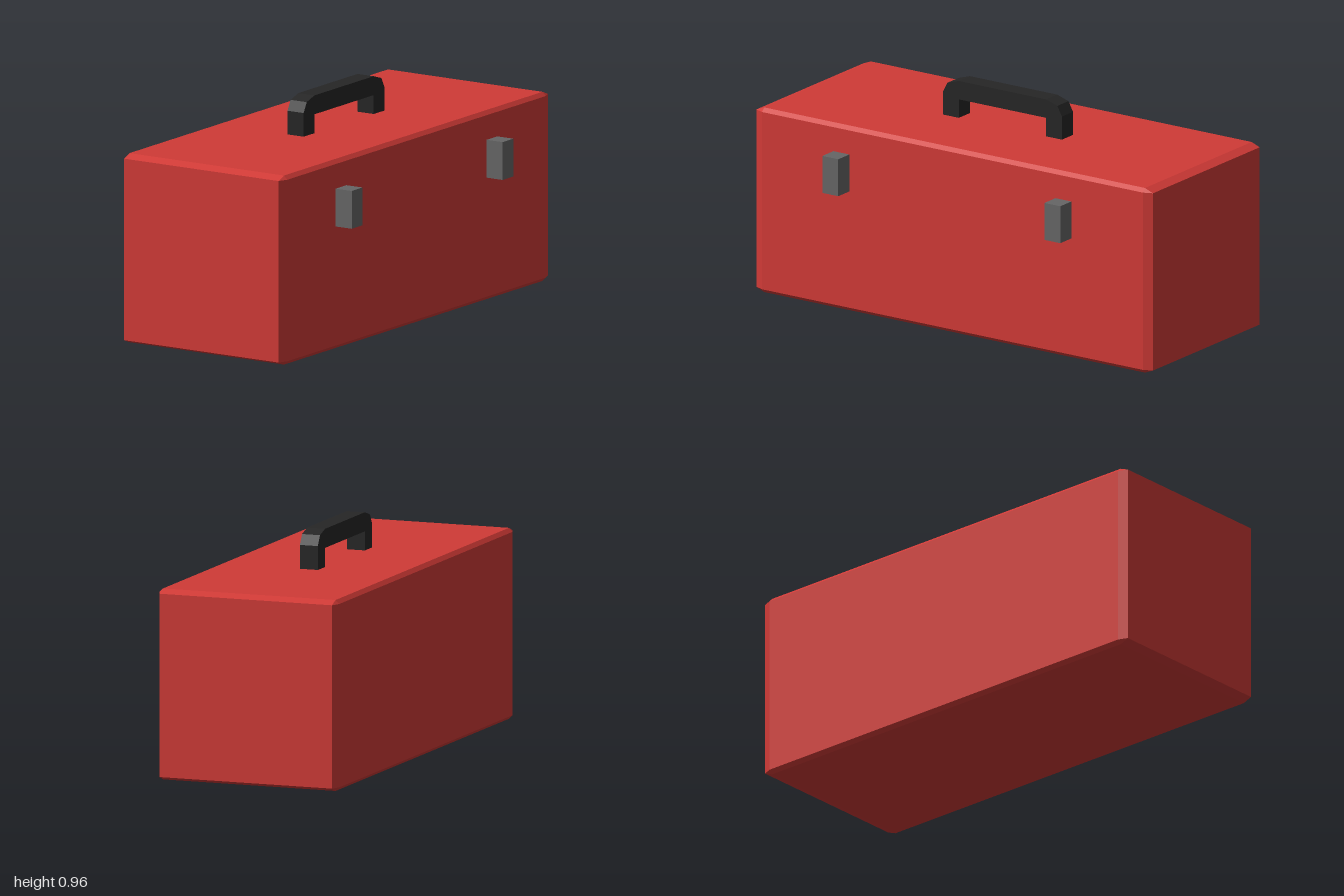
import * as THREE from 'three';
import { ConvexGeometry } from 'three/addons/geometries/ConvexGeometry.js';

const material = (color) => new THREE.MeshStandardMaterial({ color, flatShading: true });

// Unit cube with every edge chamfered, later scaled to size
function chamferedCube(bevel) {
  const points = [];
  const a = 0.5, b = 0.5 - bevel;
  for (const x of [-1, 1]) for (const y of [-1, 1]) for (const z of [-1, 1]) {
    points.push(
      new THREE.Vector3(x * a, y * b, z * b),
      new THREE.Vector3(x * b, y * a, z * b),
      new THREE.Vector3(x * b, y * b, z * a)
    );
  }
  return new ConvexGeometry(points);
}

export function createModel() {
  const group = new THREE.Group();
  const add = (name, geometry, mat) => {
    const mesh = new THREE.Mesh(geometry, mat);
    mesh.name = name;
    group.add(mesh);
    return mesh;
  };

  // Box body: the chamfer stretches with the box's length
  const body = chamferedCube(0.02).scale(0.8, 0.8, 2).translate(-0.04, 0.4, 0);
  add('body', body, material(0xd03a36));

  // Carrying handle: an arch with faceted outer corners
  const half = [[0.22, 0.8], [0.3, 0.8], [0.3, 0.9], [0.277, 0.942], [0.22, 0.96]];
  const mirrored = half.map(([z, y]) => [-z, y]).reverse();
  const outline = [[0.22, 0.88], ...half, ...mirrored, [-0.22, 0.88]];
  const shape = new THREE.Shape(outline.map(([z, y]) => new THREE.Vector2(z, y)));
  const handle = new THREE.ExtrudeGeometry(shape, { depth: 0.08, bevelEnabled: false });
  add('handle', handle.rotateY(-Math.PI / 2), material(0x262626));

  // Two latches on the long side
  const latchMaterial = material(0x666666);
  for (const [name, z] of [['frontLatch', 0.56], ['backLatch', -0.56]]) {
    add(name, new THREE.BoxGeometry(0.08, 0.16, 0.08), latchMaterial).position.set(0.4, 0.6, z);
  }

  return group;
}
